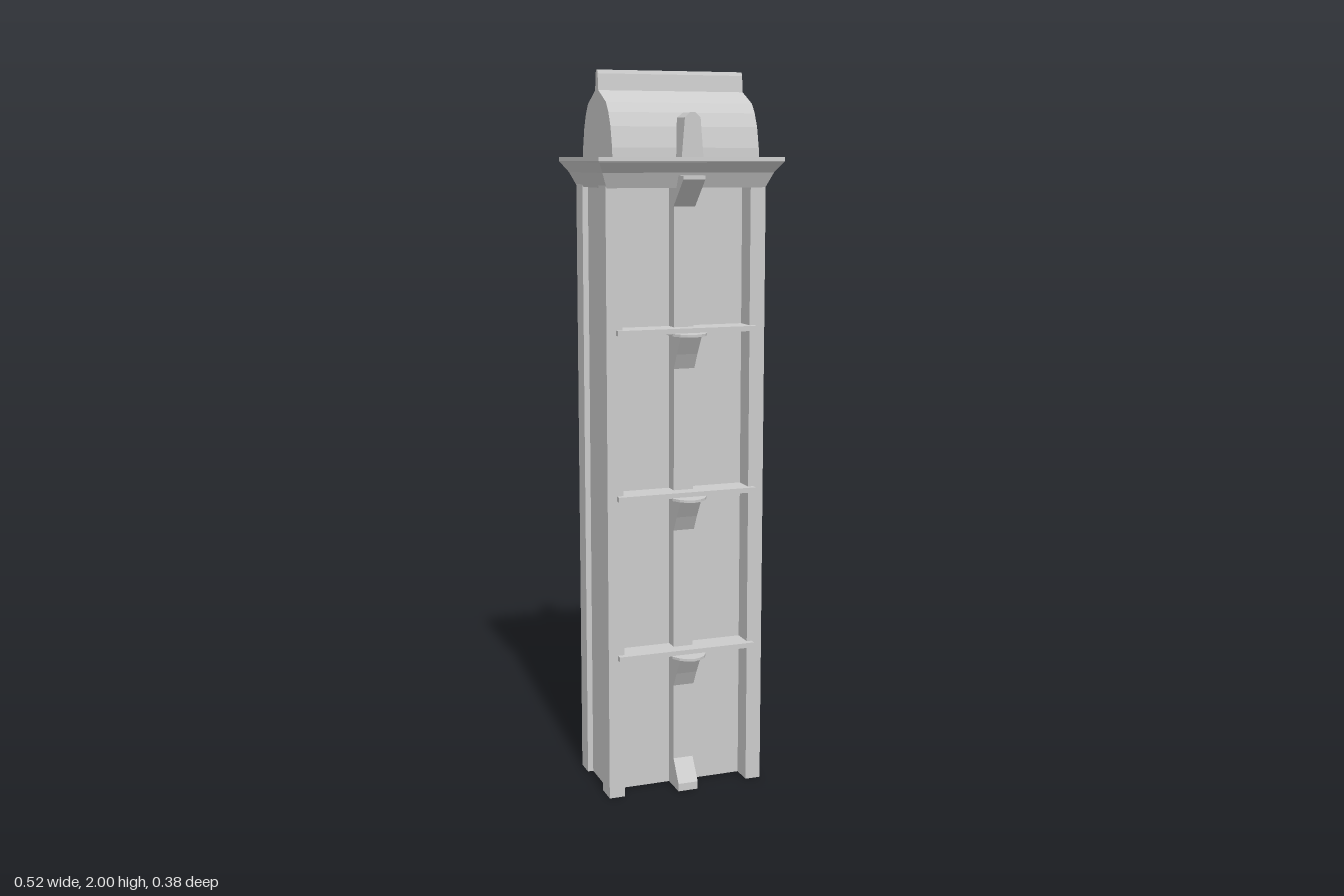
import * as THREE from 'three';

const CX = -0.001; // centre line of the tower

export function createModel() {
  const group = new THREE.Group();
  const material = new THREE.MeshStandardMaterial({ color: 0xcccccc, flatShading: true });

  function add(name, geometry) {
    const mesh = new THREE.Mesh(geometry, material);
    mesh.name = name;
    group.add(mesh);
  }

  // Box given by its limits on each axis
  function box(name, x0, x1, y0, y1, z0, z1) {
    const g = new THREE.BoxGeometry(x1 - x0, y1 - y0, z1 - z0);
    add(name, g.translate((x0 + x1) / 2, (y0 + y1) / 2, (z0 + z1) / 2));
  }

  function extrude(points, depth) {
    const shape = new THREE.Shape(points.map(([a, b]) => new THREE.Vector2(a, b)));
    return new THREE.ExtrudeGeometry(shape, { depth, bevelEnabled: false });
  }

  // Side profile of [z, y] points, extruded across x
  function across(name, points, width, x = CX) {
    const g = extrude(points, width).rotateY(-Math.PI / 2);
    add(name, g.translate(x + width / 2, 0, 0));
  }

  // Shaft, deeply recessed at the front, and its four corner posts
  box('shaft', -0.214, 0.209, 0, 1.7, -0.126, 0.068);
  for (const [x0, x1] of [[-0.23, -0.185], [0.182, 0.226]]) {
    box('frontPost', x0, x1, 0, 1.7, 0.07 - 0.004, 0.128);
    box('backPost', x0, x1, 0, 1.7, -0.137, -0.08);
  }

  // Flared cornice: each row of a box is scaled to a [y, half width, half depth] ring
  const rings = [
    [1.69, 0.226, 0.133], [1.73, 0.243, 0.154], [1.757, 0.26, 0.183],
    [1.76, 0.262, 0.185], [1.771, 0.262, 0.185],
  ];
  const cornice = new THREE.BoxGeometry(2, 1, 2, 1, rings.length - 1, 1);
  const p = cornice.attributes.position;
  for (let i = 0; i < p.count; i++) {
    const [y, hx, hz] = rings[Math.round((p.getY(i) + 0.5) * (rings.length - 1))];
    p.setXYZ(i, CX + p.getX(i) * hx, y, -0.005 - (y - 1.69) * 0.05 + p.getZ(i) * hz);
  }
  cornice.computeVertexNormals();
  add('cornice', cornice);

  // Domed roof, with the ridge fin in the same profile
  const half = [
    [0.132, 1.765], [0.13, 1.795], [0.117, 1.85], [0.1, 1.887],
    [0.08, 1.913], [0.014, 1.946], [0.009, 1.99], [0.005, 2],
  ];
  const roof = [...half, ...half.map(([z, y]) => [-z, y]).reverse()];
  across('roof', roof.map(([z, y]) => [z - 0.008, y]), 0.416);

  // Small dormers with chamfered tops before and behind the roof
  const dormer = [
    [-0.031, 1.765], [0.031, 1.765], [0.022, 1.873], [0.007, 1.886], [-0.007, 1.886], [-0.022, 1.873],
  ];
  add('frontDormer', extrude(dormer, 0.059).translate(CX, 0, 0.108));
  const backDormer = [
    [-0.031, 1.765], [0.031, 1.765], [0.031, 1.868], [0.02, 1.887], [-0.02, 1.887], [-0.031, 1.868],
  ];
  add('backDormer', extrude(backDormer, 0.058).translate(CX, 0.003, -0.183));

  // Central rib on the front, with a foot and a top bracket
  box('rib', -0.031, 0.026, 0, 1.7, 0.06, 0.105);
  across('foot', [[0.07, 0], [0.147, 0], [0.147, 0.022], [0.105, 0.083], [0.07, 0.083]], 0.058, -0.0025);
  across('topBracket', [[0.07, 1.64], [0.105, 1.64], [0.18, 1.712], [0.18, 1.722], [0.07, 1.722]], 0.062);

  // Three shelves set into the recess, each carried by a bracket with a pointed cap
  const cap = [
    [-0.05, 0.07], [0.05, 0.07], [0.05, 0.148], [0.036, 0.172],
    [0.02, 0.183], [0, 0.19], [-0.02, 0.183], [-0.036, 0.172], [-0.05, 0.148],
  ];
  for (const y of [0.4, 0.85, 1.302]) {
    box('shelf', -0.203, 0.197, y, y + 0.014, 0.06, 0.145);
    across('bracket', [[0.07, y - 0.1], [0.105, y - 0.1], [0.128, y - 0.058], [0.16, y - 0.008], [0.16, y], [0.07, y]], 0.06);
    const g = extrude(cap, 0.007).rotateX(Math.PI / 2);
    add('bracketCap', g.translate(CX, y + 0.001, 0));
  }

  return group;
}
